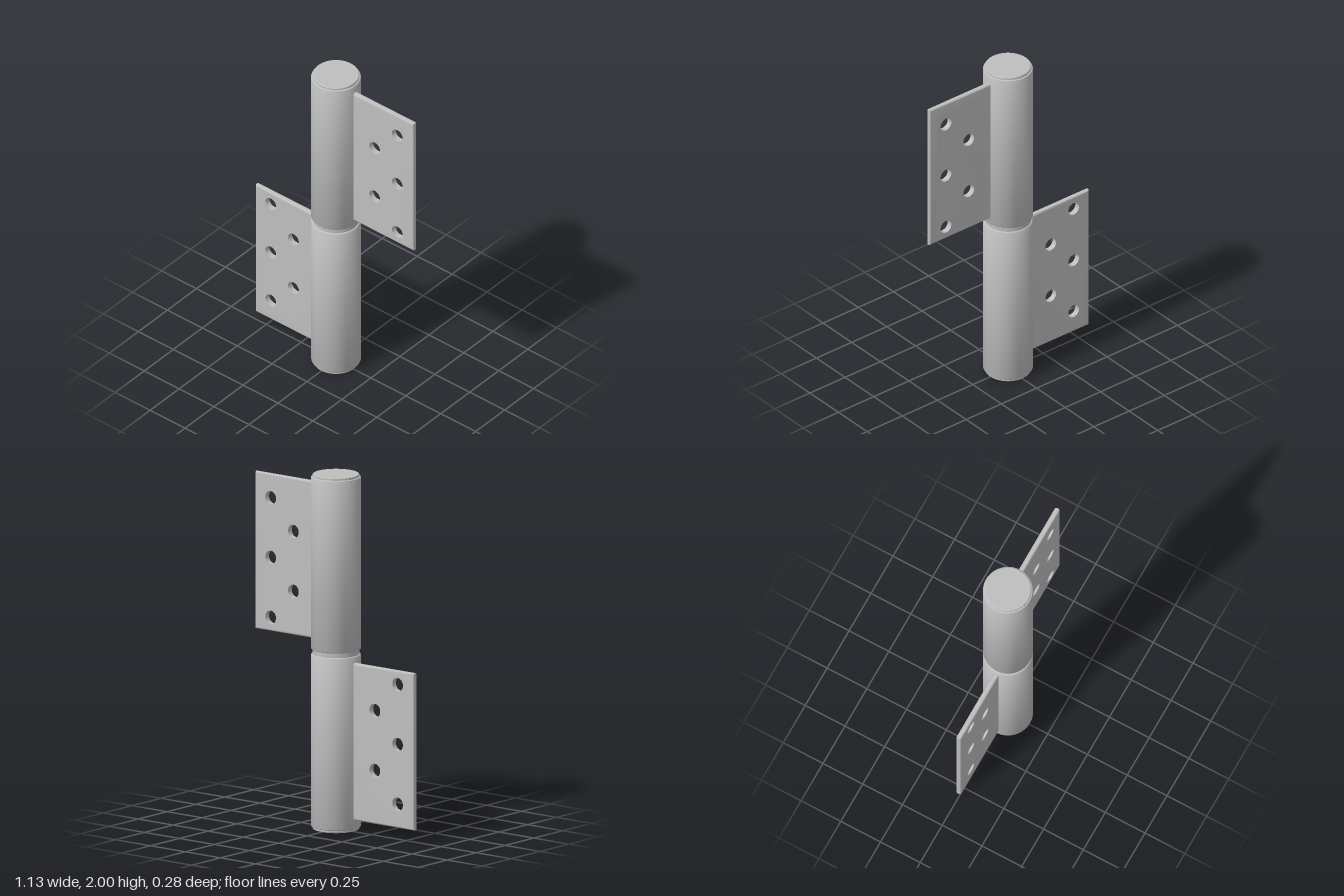
import * as THREE from 'three';
import { toCreasedNormals } from 'three/addons/utils/BufferGeometryUtils.js';

const RADIUS = 0.138, THICK = 0.032, HOLE_R = 0.038;

// Solid knuckle with rounded rims and a slightly narrower end cap on its outer end
function knuckleGeometry(height) {
  const lip = 0.014, f = 0.008, points = [[0, 0], [RADIUS - f, 0]];
  for (let i = 1; i <= 4; i++) {
    const a = (i / 4) * Math.PI / 2;
    points.push([RADIUS - f + f * Math.sin(a), f - f * Math.cos(a)]);
  }
  const top = height - lip;
  for (let i = 0; i <= 4; i++) {
    const a = (i / 4) * Math.PI / 2;
    points.push([RADIUS - f + f * Math.cos(a), top - f + f * Math.sin(a)]);
  }
  points.push([0.129, top], [0.129, height - 0.004], [0.125, height], [0, height]);
  const profile = points.map(([x, y]) => new THREE.Vector2(x, y));
  return toCreasedNormals(new THREE.LatheGeometry(profile, 72), 0.6);
}

// Leaf plate: rounded outer edges, straight screw holes
function leafGeometry() {
  const x0 = 0.09, x1 = 0.567, h = 0.443, bevel = 0.013;
  const holes = [[0.453, 0.308], [0.291, 0.14], [0.453, -0.028], [0.291, -0.197], [0.453, -0.365]];
  const shape = new THREE.Shape();
  shape.moveTo(x0, -h).lineTo(x1, -h).lineTo(x1, h).lineTo(x0, h).closePath();
  for (const [x, y] of holes) {
    shape.holes.push(new THREE.Path().absarc(x, y, HOLE_R, 0, Math.PI * 2, true));
  }
  const geometry = new THREE.ExtrudeGeometry(shape, {
    depth: THICK - 2 * bevel, curveSegments: 32,
    bevelThickness: bevel, bevelSize: bevel, bevelOffset: -bevel, bevelSegments: 4,
  });
  geometry.translate(0, 0, bevel - THICK / 2);

  // Straighten the bevelled hole walls back to one radius
  const pos = geometry.attributes.position;
  for (let i = 0; i < pos.count; i++) {
    for (const [x, y] of holes) {
      const dx = pos.getX(i) - x, dy = pos.getY(i) - y, d = Math.hypot(dx, dy);
      if (d < HOLE_R * 1.6) pos.setXY(i, x + dx / d * HOLE_R, y + dy / d * HOLE_R);
    }
  }
  return toCreasedNormals(geometry, 0.6);
}

export function createModel() {
  const model = new THREE.Group();
  model.name = 'liftOffHinge';
  const steel = new THREE.MeshStandardMaterial({ color: 0xbfbfbf });
  steel.name = 'steel grey';

  const knuckle = knuckleGeometry(0.987);
  const leaf = leafGeometry();

  // Each half is a knuckle and a leaf; the lower one is turned half round
  const halves = [
    { name: 'upper', base: 1.013, leafY: 1.496, turn: 0 },
    { name: 'lower', base: 0.987, leafY: 0.509, turn: Math.PI },
  ];
  for (const { name, base, leafY, turn } of halves) {
    const half = new THREE.Group();
    half.name = name + 'Half';
    const barrel = new THREE.Mesh(knuckle, steel);
    barrel.name = name + 'Knuckle';
    barrel.position.y = base;
    barrel.rotation.z = turn;
    const plate = new THREE.Mesh(leaf, steel);
    plate.name = name + 'Leaf';
    plate.position.y = leafY;
    plate.rotation.z = turn;
    half.add(barrel, plate);
    model.add(half);
  }

  // Washer in the gap between the knuckles
  const washer = new THREE.Mesh(new THREE.CylinderGeometry(0.129, 0.129, 0.03, 72), steel);
  washer.name = 'washer';
  washer.position.y = 1;
  model.add(washer);

  return model;
}
